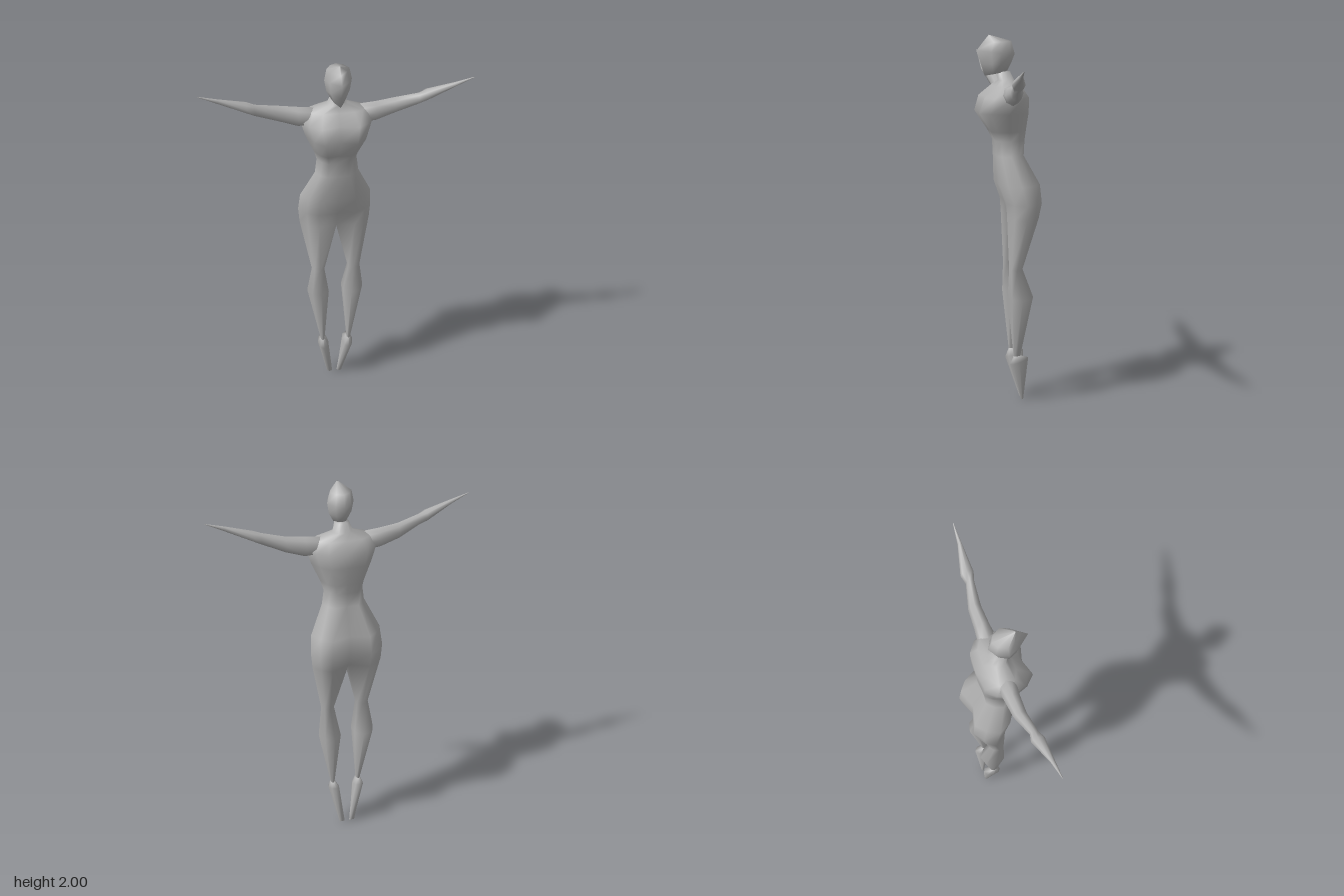
import * as THREE from 'three';
import { mergeGeometries, mergeVertices } from 'three/addons/utils/BufferGeometryUtils.js';

// Skin a list of closed rings; capStart / capEnd close the ends with a fan.
function loft(rings, capStart = true, capEnd = true) {
  const n = rings[0].length, pos = rings.flat(2), index = [];
  rings.slice(1).forEach((_, i) => {
    for (let k = 0; k < n; k++) {
      const a = i * n + k, b = i * n + (k + 1) % n;
      index.push(a, a + n, b, b, a + n, b + n);
    }
  });
  const cap = (r, flip) => {
    const c = pos.length / 3;
    for (let j = 0; j < 3; j++) pos.push(rings[r].reduce((s, p) => s + p[j], 0) / n);
    for (let k = 0; k < n; k++) {
      const a = r * n + k, b = r * n + (k + 1) % n;
      index.push(c, flip ? b : a, flip ? a : b);
    }
  };
  if (capStart) cap(0, false);
  if (capEnd) cap(rings.length - 1, true);
  const g = new THREE.BufferGeometry();
  g.setAttribute('position', new THREE.Float32BufferAttribute(pos, 3));
  g.setIndex(index);
  return g;
}

const smooth = (g) => {
  const m = mergeVertices(g, 1e-4);
  m.computeVertexNormals();
  return m;
};
const { lerp, degToRad } = THREE.MathUtils;
const flipX = ([x, y, z]) => [x === 0 ? 0 : -x, y, z];
// Half ring (front centre to back centre on +x) completed by its mirror image
const fullRing = (half) => [...half, ...half.slice(1, -1).reverse().map(flipX)];
const mirrorRings = (rings) => rings.map((r) => r.map(flipX).reverse());
// Points around an oval: step angle in degrees, place(sin, cos) gives the position
const around = (count, start, step, place) => Array.from({ length: count }, (_, k) => {
  const a = degToRad(start + k * step);
  return place(Math.sin(a), Math.cos(a));
});

// Torso: y, half width, side z, front z, front centre z, back z, back centre z
const torso = [
  [1.81, .038, .025, .06, .065, -.01, -.012],
  [1.765, .055, .01, .048, .05, -.03, -.035],
  [1.735, .16, .01, .075, .075, -.06, -.065],
  [1.68, .19, .01, .14, .12, -.095, -.105],
  [1.6, .165, .02, .165, .14, -.095, -.1],
  [1.5, .12, .01, .1, .09, -.085, -.085],
  [1.45, .105, 0, .075, .07, -.08, -.08],
  [1.37, .115, 0, .07, .07, -.075, -.07],
  [1.22, .188, -.045, .06, .06, -.155, -.125],
  [1.12, .197, -.07, .025, .02, -.165, -.13],
  [1.04, .19, -.07, .02, 0, -.15, -.1],
].map(([y, w, side, front, frontMid, back, backMid]) => [
  [0, y, frontMid],
  [w * .5, y, front],
  [w * .8, y, lerp(side, front, .65)],
  [w, y, side],
  [w * .82, y, lerp(side, back, .6)],
  [w * .54, y, back],
  [0, y, backMid],
]);

// Leg: y, centre x, centre z, radius x, radius z; starts at the last torso half section
const leg = [torso[torso.length - 1], ...[
  [.76, .097, -.028, .036, .037],
  [.6, .094, -.055, .062, .071],
  [.26, .0735, -.038, .0095, .018],
].map(([y, cx, cz, rx, rz]) => around(7, -60, 50, (s, c) => [cx + s * rx, y, cz + c * rz]))];

// Head: front y, front z, back y, back z, half width; pointed front, narrow back
const head = [
  [2, .1, 1.999, .093, .005],
  [1.963, .13, 1.967, -.02, .058],
  [1.92, .164, 1.9, -.038, .07],
  [1.85, .142, 1.85, -.018, .06],
  [1.788, .122, 1.815, 0, .035],
].map(([y0, z0, y1, z1, w]) => [[0, 0], [.34, .72], [.6, 1], [.88, .58], [1, 0]]
  .map(([t, s]) => [w * s, lerp(y0, y1, t), lerp(z0, z1, t)]));

// Arm: x, bottom y, top y, back z, front z
const arm = [
  [.1, 1.65, 1.745, -.045, .06],
  [.2, 1.65, 1.757, -.032, .048],
  [.3, 1.685, 1.771, -.026, .041],
  [.42, 1.735, 1.797, .008, .052],
  [.46, 1.755, 1.813, -.004, .065],
  [.6, 1.822, 1.848, .035, .058],
  [.7, 1.869, 1.872, .05, .054],
].map(([x, y0, y1, z0, z1]) => around(8, 0, 45, (s, c) => [
  x, lerp(y0, y1, (1 + s) / 2), lerp(z0, z1, (1 + c) / 2),
]));

// Pointed foot: centre x, y, z, radius x, radius z, forward tilt
const foot = [
  [.073, .268, -.04, .014, .02, 0],
  [.07, .237, -.051, .03, .051, .018],
  [.028, .004, -.077, .015, .006, .004],
].map(([cx, y, cz, rx, rz, tilt]) => around(8, 0, 45, (s, c) => [
  cx + s * rx, y - c * tilt, cz + c * rz,
]));

export function createModel() {
  const model = new THREE.Group();
  model.name = 'figure';
  const grey = new THREE.MeshStandardMaterial({ color: 0xb0b0b0 });
  grey.name = 'plain grey';
  const add = (name, geometry) => {
    const mesh = new THREE.Mesh(smooth(geometry), grey);
    mesh.name = name;
    model.add(mesh);
  };

  // Torso and both legs share one smooth skin
  add('torsoAndLegs', mergeGeometries([
    loft(torso.map(fullRing), true, false),
    loft(leg, false, true),
    loft(mirrorRings(leg), false, true),
  ]));
  add('head', loft(head.map(fullRing)));

  // Paired limbs
  for (const [name, rings] of [['Arm', arm], ['Foot', foot]]) {
    add('left' + name, loft(rings));
    add('right' + name, loft(mirrorRings(rings)));
  }
  return model;
}
